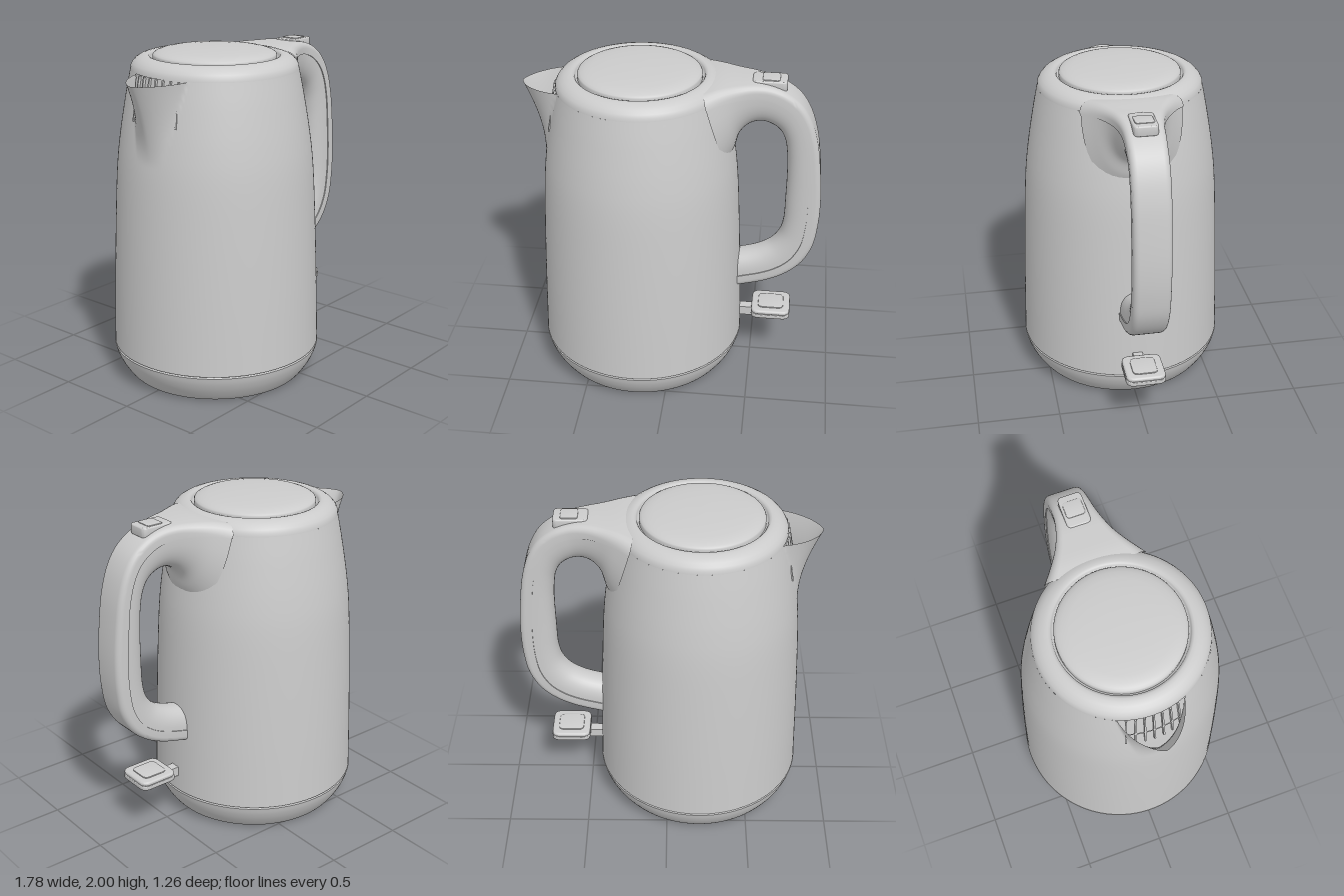
import * as THREE from 'three';
import { toCreasedNormals } from 'three/addons/utils/BufferGeometryUtils.js';

const AXIS = -0.2; // x of the vessel's axis
const grey = new THREE.MeshStandardMaterial({ color: 0xcccccc, roughness: 0.6 });
const greyDouble = new THREE.MeshStandardMaterial({ color: 0xcccccc, roughness: 0.6, side: THREE.DoubleSide });
const v2 = (pts) => pts.map(([x, y]) => new THREE.Vector2(x, y));

function add(group, name, geometry, x = 0, y = 0, z = 0, material = grey) {
  const mesh = new THREE.Mesh(geometry, material);
  mesh.name = name;
  mesh.position.set(x, y, z);
  group.add(mesh);
  return mesh;
}

// Vessel wall profile, bottom to top
const wall = new THREE.SplineCurve(v2([
  [0.63, 0.19], [0.618, 0.6], [0.602, 1.0], [0.585, 1.3], [0.562, 1.5], [0.525, 1.72], [0.493, 1.88],
]));

// Wall of revolution whose upper -x side is pulled out into a pointed spout
function bodyGeometry() {
  const geo = new THREE.LatheGeometry(wall.getPoints(56), 256, Math.PI / 2);
  const p = geo.attributes.position;
  for (let i = 0; i < p.count; i++) {
    const x = p.getX(i), y = p.getY(i), z = p.getZ(i);
    const t = (y - 1.4) / 0.48;
    if (t <= 0 || x >= 0) continue;
    const spread = THREE.MathUtils.degToRad(23) * (0.4 + 0.6 * t);
    const a = Math.abs(Math.atan2(z, -x)) / spread;
    if (a >= 1) continue;
    const pull = (1 - Math.pow(a, 1.4)) * Math.pow(t, 1.6);
    const k = 1 + (0.203 * pull) / Math.hypot(x, z);
    p.setXYZ(i, x * k, y - 0.012 * pull, z * k);
  }
  geo.computeVertexNormals();
  return geo;
}

// Handle stations: outer x, outer y, inner x, inner y, half width
const stations = [
  [0.19, 1.944, 0.33, 1.45, 0.3], [0.27, 1.955, 0.365, 1.53, 0.24], [0.38, 1.957, 0.39, 1.62, 0.175],
  [0.47, 1.955, 0.44, 1.675, 0.14], [0.56, 1.94, 0.5, 1.695, 0.12], [0.65, 1.905, 0.56, 1.685, 0.113],
  [0.74, 1.835, 0.62, 1.645, 0.11], [0.8, 1.74, 0.655, 1.58, 0.11], [0.845, 1.6, 0.672, 1.48, 0.11],
  [0.872, 1.42, 0.678, 1.36, 0.11], [0.888, 1.2, 0.677, 1.18, 0.11], [0.882, 1.02, 0.672, 1.02, 0.11],
  [0.855, 0.87, 0.65, 0.93, 0.11], [0.79, 0.75, 0.6, 0.86, 0.11], [0.7, 0.67, 0.54, 0.82, 0.11],
  [0.58, 0.61, 0.48, 0.795, 0.11], [0.42, 0.565, 0.4, 0.773, 0.11], [0.34, 0.545, 0.34, 0.76, 0.11],
];
const outerPath = new THREE.CatmullRomCurve3(stations.map((s) => new THREE.Vector3(s[0], s[1], s[4])));
const innerPath = new THREE.CatmullRomCurve3(stations.map((s) => new THREE.Vector3(s[2], s[3], 0)));
const TRIM = 0.075; // depth of the outer strip

// Lofts section(halfWidth, depth) -> [[inward, z], ...] along the handle
function loftHandle(section) {
  const rows = 96, pos = [], idx = [];
  let cols = 0;
  for (let i = 0; i <= rows; i++) {
    const o = outerPath.getPoint(i / rows), n = innerPath.getPoint(i / rows);
    const w = o.z;
    o.z = 0;
    const depth = o.distanceTo(n);
    const d = n.sub(o).normalize();
    const pts = section(w, depth);
    cols = pts.length;
    for (const [u, z] of pts) pos.push(o.x + d.x * u, o.y + d.y * u, z);
  }
  for (let i = 0; i < rows; i++) {
    for (let j = 0; j < cols - 1; j++) {
      const a = i * cols + j, b = a + 1, c = a + cols, e = c + 1;
      idx.push(a, c, b, b, c, e);
    }
  }
  const geo = new THREE.BufferGeometry();
  geo.setAttribute('position', new THREE.Float32BufferAttribute(pos, 3));
  geo.setIndex(idx);
  return toCreasedNormals(geo, 0.7);
}

// Flat outer strip with rounded shoulders
function trimSection(w) {
  const s = 0.035 + 0.2 * (w - 0.11);
  const half = [[TRIM, w - 0.012], [TRIM, w]];
  for (let k = 0; k <= 5; k++) {
    const a = (k / 5) * Math.PI / 2;
    half.push([s * (1 - Math.sin(a)), w - s + s * Math.cos(a)]);
  }
  return [...half, ...half.slice().reverse().map(([u, z]) => [u, -z])];
}

// Rounded inner side of the grip
function gripSection(w, depth) {
  const pts = [[TRIM - 0.01, -(w - 0.006)]];
  for (let k = 0; k <= 20; k++) {
    const a = (k / 20) * Math.PI, c = Math.cos(a);
    const u = TRIM + (depth - TRIM) * Math.pow(Math.max(0, Math.sin(a)), 0.85);
    pts.push([u, -(w - 0.006) * Math.sign(c) * Math.pow(Math.abs(c), 0.85)]);
  }
  pts.push([TRIM - 0.01, w - 0.006]);
  return pts;
}

function roundedRect(target, w, h, r) {
  const x = w / 2, y = h / 2;
  target.moveTo(-x + r, -y).lineTo(x - r, -y).quadraticCurveTo(x, -y, x, -y + r)
    .lineTo(x, y - r).quadraticCurveTo(x, y, x - r, y)
    .lineTo(-x + r, y).quadraticCurveTo(-x, y, -x, y - r)
    .lineTo(-x, -y + r).quadraticCurveTo(-x, -y, -x + r, -y);
  return target;
}

// Horizontal rounded plate standing on its own y = 0, optionally with a hole
function plate(w, d, r, h, bevel, hole = 0) {
  const shape = roundedRect(new THREE.Shape(), w, d, r);
  if (hole) shape.holes.push(roundedRect(new THREE.Path(), w - hole, d - hole, r * 0.7));
  const geo = new THREE.ExtrudeGeometry(shape, {
    depth: h - 2 * bevel, bevelThickness: bevel, bevelSize: bevel, bevelOffset: -bevel, bevelSegments: 3, curveSegments: 8,
  });
  geo.rotateX(-Math.PI / 2).translate(0, bevel, 0);
  return toCreasedNormals(geo, 0.6);
}

export function createModel() {
  const model = new THREE.Group();
  model.name = 'kettle';

  // Vessel and base
  add(model, 'body', bodyGeometry(), AXIS, 0, 0, greyDouble);
  const base = new THREE.SplineCurve(v2([
    [0.525, 0], [0.54, 0.008], [0.565, 0.038], [0.597, 0.088], [0.62, 0.138], [0.632, 0.18],
  ])).getPoints(20);
  add(model, 'base', new THREE.LatheGeometry(base, 128), AXIS);
  add(model, 'baseSeam', new THREE.LatheGeometry(v2([[0.632, 0.18], [0.622, 0.184], [0.622, 0.188], [0.63, 0.19]]), 128), AXIS);
  add(model, 'bottom', new THREE.CircleGeometry(0.525, 128).rotateX(Math.PI / 2), AXIS);

  // Rim and lid
  const rim = v2([
    [0.493, 1.88], [0.49, 1.9], [0.48, 1.918], [0.463, 1.936], [0.44, 1.95], [0.415, 1.958],
    [0.395, 1.96], [0.383, 1.956], [0.376, 1.946], [0.372, 1.93], [0.36, 1.93],
  ]);
  add(model, 'rim', new THREE.LatheGeometry(rim, 128), AXIS);
  const lid = v2([
    [0.363, 1.93], [0.363, 1.955], [0.358, 1.964], [0.345, 1.972], [0.32, 1.981], [0.28, 1.988], [0.2, 1.995], [0.1, 1.999], [0, 2],
  ]);
  add(model, 'lid', new THREE.LatheGeometry(lid, 128), AXIS);

  // Filter behind the spout: curved wall with upright bars and a cross bar
  const filter = new THREE.Group();
  filter.name = 'spoutFilter';
  filter.position.x = AXIS;
  model.add(filter);
  const filterWall = wall.getPoints(56).filter((p) => p.y > 1.4).map((p) => new THREE.Vector2(p.x - 0.006, p.y));
  add(filter, 'filterWall', new THREE.LatheGeometry(filterWall, 24, -Math.PI / 2 - 0.45, 0.9), 0, 0, 0, greyDouble);
  for (let i = 0; i < 7; i++) {
    const pivot = new THREE.Group();
    pivot.rotation.y = (i - 3) * 0.1;
    filter.add(pivot);
    add(pivot, 'filterBar', new THREE.BoxGeometry(0.014, 0.26, 0.01), -0.52, 1.75, 0).rotation.z = -0.18;
  }
  add(filter, 'filterCrossBar', new THREE.CylinderGeometry(0.53, 0.533, 0.014, 16, 1, true, -Math.PI / 2 - 0.3, 0.6), 0, 1.74, 0, greyDouble);

  // Handle
  add(model, 'handleTrim', loftHandle(trimSection), 0, 0, 0, greyDouble);
  add(model, 'handleGrip', loftHandle(gripSection), 0, 0, 0, greyDouble);

  // Lid release button
  add(model, 'lidButton', plate(0.2, 0.14, 0.03, 0.06, 0.008), 0.553, 1.902, 0);
  add(model, 'lidButtonPad', plate(0.1, 0.11, 0.02, 0.01, 0.003), 0.56, 1.957, 0);

  // Power switch: stem and hollow paddle
  add(model, 'switchStem', new THREE.BoxGeometry(0.17, 0.06, 0.06), 0.465, 0.32, 0);
  add(model, 'switchRim', plate(0.245, 0.24, 0.05, 0.028, 0.004, 0.06), 0.623, 0.335, 0);
  add(model, 'switchPaddle', plate(0.243, 0.238, 0.05, 0.028, 0.012), 0.623, 0.36, 0);
  add(model, 'switchPad', plate(0.16, 0.15, 0.035, 0.012, 0.004), 0.623, 0.383, 0);
  return model;
}
